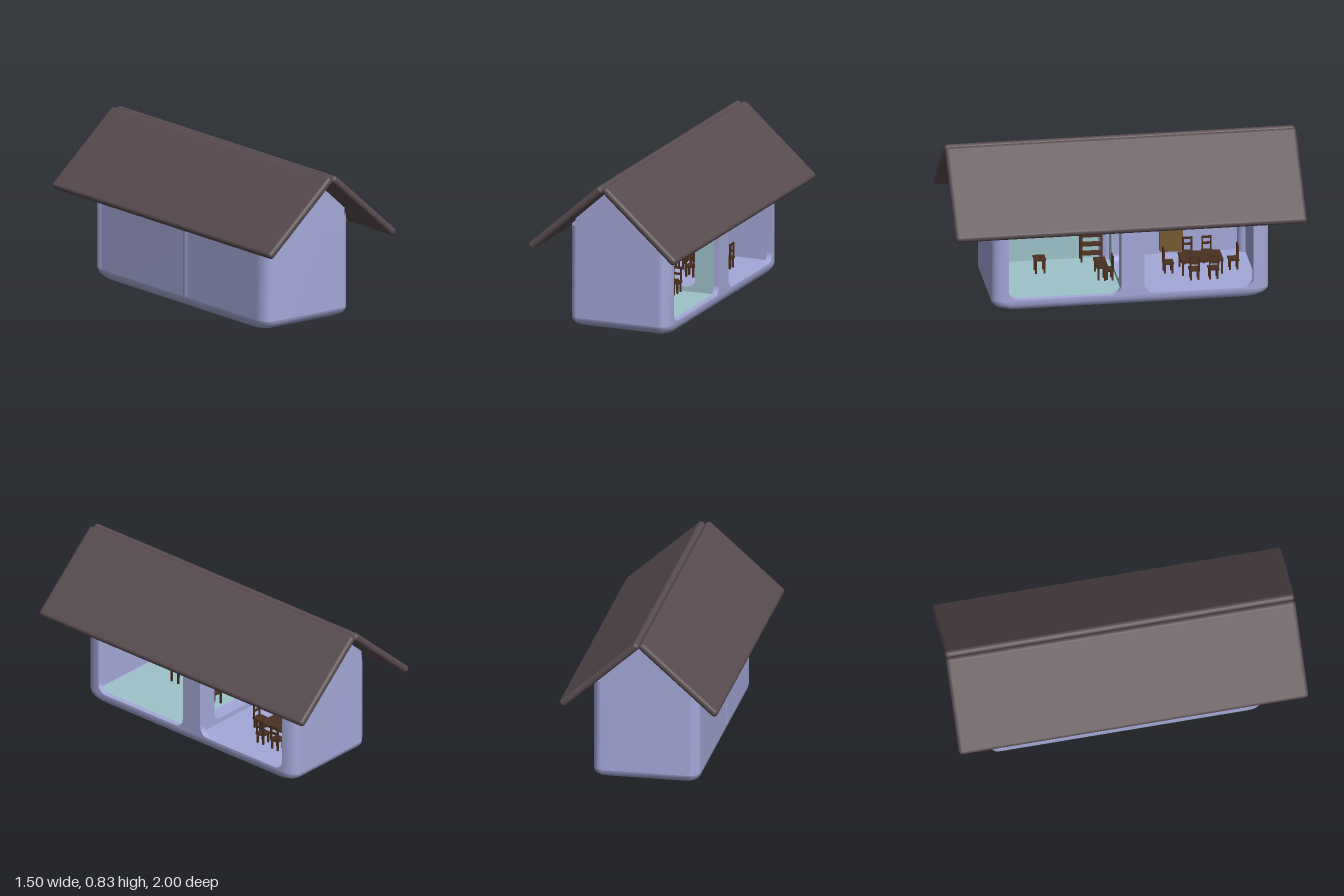
import * as THREE from 'three';
import { RoundedBoxGeometry } from 'three/addons/geometries/RoundedBoxGeometry.js';

const mat = (name, color, side = THREE.FrontSide) => {
  const m = new THREE.MeshStandardMaterial({ color, side });
  m.name = name;
  return m;
};

// Main dimensions, in the house's own frame (ridge along z)
const HALF_W = 0.28, Z_FRONT = 0.705, Z_BACK = -0.738;
const RX = 0.05, RZ = 0.075, RY = 0.055, WALL_TOP = 0.545, FLOOR = 0.06;
const TURN = 0.424;

// One horizontal ring of the rounded plan, starting and ending on the open (+x) side
function ring(y, ix, iz) {
  const pts = [];
  const x = HALF_W - ix - RX, zf = Z_FRONT - iz - RZ, zb = Z_BACK + iz + RZ;
  [[x, zf], [-x, zf], [-x, zb], [x, zb]].forEach(([cx, cz], q) => {
    for (let i = 0; i <= 6; i++) {
      const a = (q + i / 6) * Math.PI / 2;
      pts.push([cx + RX * Math.cos(a), y, cz + RZ * Math.sin(a)]);
    }
  });
  return pts;
}

function loft(rings, closed) {
  const n = rings[0].length, index = [];
  for (let r = 0; r < rings.length - 1; r++) {
    for (let i = 0; i < (closed ? n : n - 1); i++) {
      const a = r * n + i, b = r * n + (i + 1) % n;
      index.push(a, a + n, b, b, a + n, b + n);
    }
  }
  const g = new THREE.BufferGeometry();
  g.setAttribute('position', new THREE.Float32BufferAttribute(rings.flat(2), 3));
  g.setIndex(index);
  g.computeVertexNormals();
  return g;
}

function roundRect(path, x0, y0, x1, y1, r) {
  path.moveTo(x0 + r, y0);
  path.lineTo(x1 - r, y0);
  path.absarc(x1 - r, y0 + r, r, -Math.PI / 2, 0);
  path.lineTo(x1, y1 - r);
  path.absarc(x1 - r, y1 - r, r, 0, Math.PI / 2);
  path.lineTo(x0 + r, y1);
  path.absarc(x0 + r, y1 - r, r, Math.PI / 2, Math.PI);
  path.lineTo(x0, y0 + r);
  path.absarc(x0 + r, y0 + r, r, Math.PI, Math.PI * 1.5);
  return path;
}

// Flat wall [x0, y0, x1, y1] with rounded openings
function holedWall([x0, y0, x1, y1], holes, r, depth) {
  const s = new THREE.Shape([[x0, y0], [x1, y0], [x1, y1], [x0, y1]].map(p => new THREE.Vector2(...p)));
  holes.forEach(h => s.holes.push(roundRect(new THREE.Path(), ...h, r)));
  return new THREE.ExtrudeGeometry(s, { depth, bevelEnabled: false, curveSegments: 8 });
}

export function createModel() {
  const wall = mat('lavender wall', 0xa4a8d8, THREE.DoubleSide);
  const roofMat = mat('dark brown roof', 0x594c50);
  const teal = mat('teal room', 0x9dc3ca);
  const glass = mat('window glass', 0x9ccac8);
  const wood = mat('dark wood', 0x4a3020);
  const doorMat = mat('brown door', 0x76572f);

  const model = new THREE.Group();
  const house = new THREE.Group();
  house.name = 'house';
  house.rotation.y = TURN;
  model.add(house);

  const add = (name, geo, m, x = 0, y = 0, z = 0, parent = house) => {
    const mesh = new THREE.Mesh(geo, m);
    mesh.name = name;
    mesh.position.set(x, y, z);
    parent.add(mesh);
    return mesh;
  };
  const box = (name, m, sx, sy, sz, x, y, z, parent) =>
    add(name, new THREE.BoxGeometry(sx, sy, sz), m, x, y, z, parent);

  // Outer shell: rounded foot below, three-sided wall above
  const foot = [];
  for (let i = 0; i <= 6; i++) {
    const a = i / 6 * Math.PI / 2;
    const inset = 1 - Math.sin(a);
    foot.push(ring(RY * (1 - Math.cos(a)), 0.05 * inset, 0.11 * inset));
  }
  add('foot', loft(foot, true), wall);
  add('outerWall', loft([ring(RY, 0, 0), ring(WALL_TOP, 0, 0)], false), wall);

  // Open side with two wide room openings
  const side = holedWall([-Z_FRONT + RZ, RY, -Z_BACK - RZ, WALL_TOP],
    [[-0.62, 0.065, -0.034, 0.5], [0.087, 0.065, 0.655, 0.5]], 0.05, 0.03);
  side.rotateY(Math.PI / 2);
  add('openSideWall', side, wall, HALF_W - 0.03);

  // Gable panels at both ends
  const gable = new THREE.Shape([[-0.235, 0.447], [0.235, 0.447], [0.235, 0.588], [0, 0.8], [-0.235, 0.588]]
    .map(p => new THREE.Vector2(...p)));
  for (const z of [Z_FRONT - 0.016, Z_BACK - 0.004]) {
    add('gable', new THREE.ExtrudeGeometry(gable, { depth: 0.02, bevelEnabled: false }), wall, 0, 0, z);
  }

  // Two rounded roof slabs meeting at the ridge
  for (const s of [-1, 1]) {
    const slab = add('roofSlab', new RoundedBoxGeometry(0.542, 0.04, 1.83, 4, 0.019), roofMat, s * 0.2075, 0.6435, 0);
    slab.rotation.z = -s * 0.726;
  }

  // Floors, ceiling and room linings
  box('roomFloor', teal, 0.5, 0.008, 0.64, 0, FLOOR - 0.004, 0.33);
  box('diningFloor', wall, 0.5, 0.008, 0.69, 0, FLOOR - 0.004, -0.36);
  box('ceiling', wall, 0.53, 0.01, 1.4, 0, 0.515, -0.016);
  box('roomBackWall', teal, 0.02, 0.45, 0.63, -0.26, 0.285, 0.34);
  box('diningBackWall', wall, 0.02, 0.45, 0.65, -0.26, 0.285, -0.38);
  box('endWall', wall, 0.5, 0.45, 0.02, 0, 0.285, 0.665);
  box('endWall', wall, 0.5, 0.45, 0.02, 0, 0.285, -0.695);
  const doorway = [[-0.13, 0.085, 0.14, 0.37]];
  const span = [-0.25, FLOOR, 0.25, 0.51];
  add('partition', holedWall(span, doorway, 0.04, 0.08), wall, 0, 0, -0.06);
  add('partitionPanel', holedWall(span, doorway, 0.04, 0.006), teal, 0, 0, 0.02);
  const pillar = new THREE.CylinderGeometry(0.04, 0.04, 0.45, 16);
  add('cornerPillar', pillar, wall, -0.245, 0.285, 0.035);
  add('cornerPillar', pillar, wall, -0.245, 0.285, -0.685);

  // Inside windows and the back door
  const opening = (name, m, y0, y1, z0, z1) => {
    const h = y1 - y0, w = z1 - z0, y = (y0 + y1) / 2, z = (z0 + z1) / 2;
    const plate = (n, grow, mm, x) => {
      const g = new THREE.ExtrudeGeometry(
        roundRect(new THREE.Shape(), -w / 2 - grow, -h / 2 - grow, w / 2 + grow, h / 2 + grow, 0.015),
        { depth: 0.006, bevelEnabled: false, curveSegments: 6 });
      g.rotateY(Math.PI / 2);
      add(n, g, mm, x, y, z);
    };
    plate(name + 'Frame', 0.008, wall, -0.251);
    plate(name, 0, m, -0.248);
  };
  opening('roomWindow', glass, 0.24, 0.375, 0.17, 0.315);
  opening('diningWindow', glass, 0.28, 0.39, -0.59, -0.44);
  opening('backDoor', doorMat, 0.07, 0.355, -0.365, -0.24);

  // Furniture
  const piece = (name, x, z, turn = 0) => {
    const g = new THREE.Group();
    g.name = name;
    g.position.set(x, FLOOR - 0.01, z);
    g.rotation.y = turn;
    house.add(g);
    return g;
  };
  const table = (name, x, z, w, d, h, turn = 0) => {
    const g = piece(name, x, z, turn);
    box('top', wood, w, 0.01, d, 0, h, 0, g);
    for (const sx of [-1, 1]) for (const sz of [-1, 1]) {
      box('leg', wood, 0.009, h, 0.009, sx * (w / 2 - 0.008), h / 2, sz * (d / 2 - 0.008), g);
    }
    return g;
  };
  const chair = (x, z, turn) => {
    const g = table('chair', x, z, 0.055, 0.055, 0.065, turn);
    for (const s of [-1, 1]) box('backPost', wood, 0.008, 0.08, 0.008, s * 0.022, 0.105, -0.023, g);
    for (const y of [0.105, 0.138]) box('backRail', wood, 0.05, 0.012, 0.006, 0, y, -0.023, g);
  };
  table('diningTable', 0, -0.42, 0.14, 0.22, 0.085);
  chair(0, -0.25, Math.PI);
  chair(0, -0.59, 0);
  for (const z of [-0.37, -0.47]) {
    chair(-0.11, z, Math.PI / 2);
    chair(0.11, z, -Math.PI / 2);
  }
  table('sideTable', -0.1, 0.405, 0.07, 0.06, 0.085);
  table('bench', 0, 0.1, 0.14, 0.06, 0.08);
  chair(0.05, 0.07, 0);

  // Tall shelf against the back wall
  const shelf = piece('shelf', -0.215, 0.12);
  for (const sx of [-1, 1]) for (const sz of [-1, 1]) {
    box('post', wood, 0.008, 0.215, 0.01, sx * 0.022, 0.108, sz * 0.052, shelf);
  }
  for (let i = 0; i < 4; i++) box('board', wood, 0.05, 0.007, 0.11, 0, 0.05 + i * 0.05, 0, shelf);

  return model;
}
